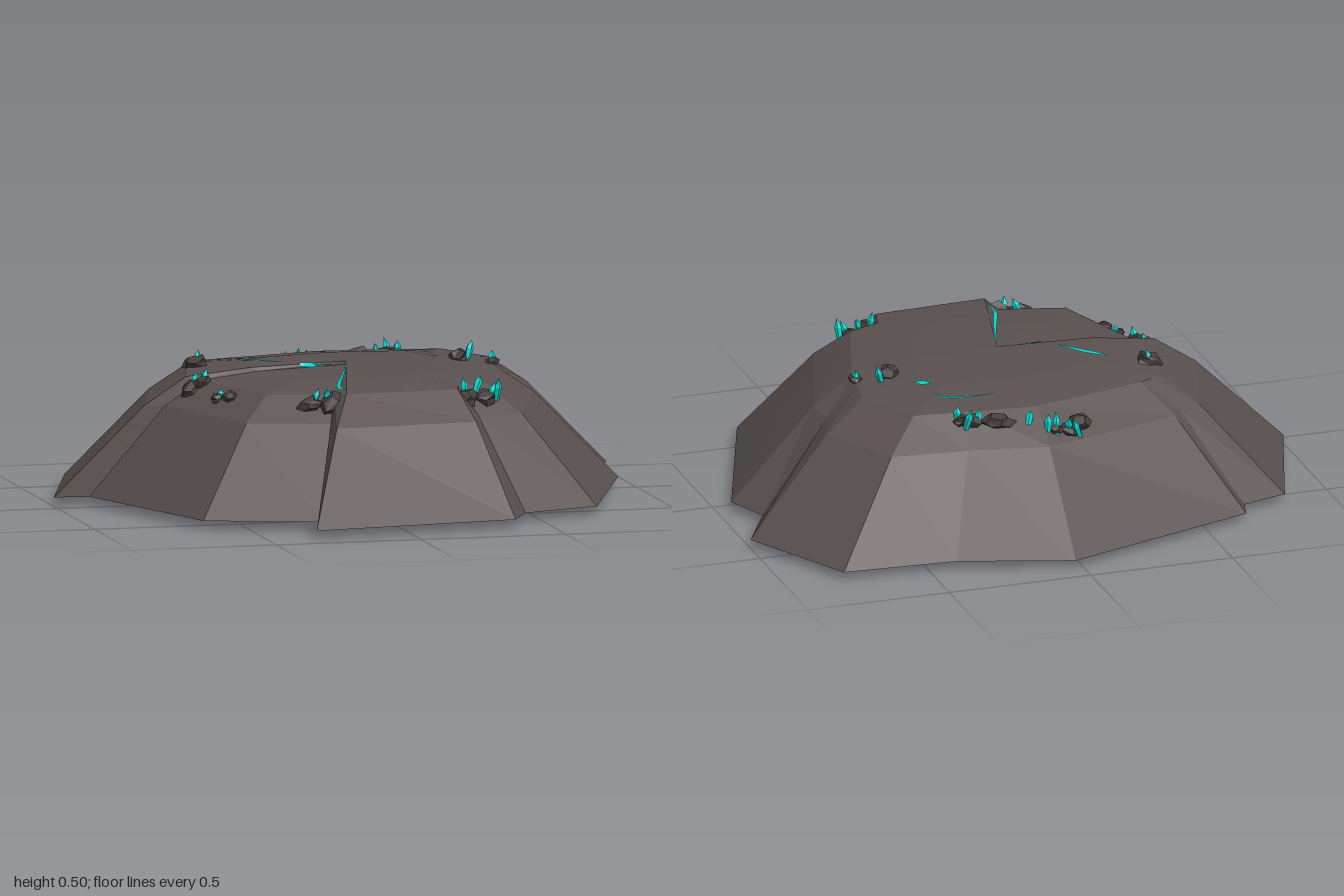
import * as THREE from 'three';
import { mergeVertices } from 'three/addons/utils/BufferGeometryUtils.js';

const mat = (color, side = THREE.FrontSide) => new THREE.MeshStandardMaterial({ color, side, flatShading: true });
const stone = mat(0x5a5150), boulder = mat(0x443d3a), glow = mat(0x00d8d0, THREE.DoubleSide);

// Each row: foot x, z, rim x, z; walked clockwise from the back as seen from above
const ROWS = [
  [0.03, -0.93, 0.02, -0.50], [0.41, -0.81, 0.24, -0.48], [0.80, -0.785, 0.44, -0.45],
  [1.00, -0.40, 0.55, -0.24], [0.89, -0.20, 0.53, -0.12], [0.95, -0.05, 0.52, -0.03],
  [0.71, 0.60, 0.39, 0.36], [0.44, 0.69, 0.28, 0.40], [0.37, 0.83, 0.26, 0.48],
  [-0.34, 0.92, -0.13, 0.50], [-0.27, 0.73, -0.15, 0.42], [-0.65, 0.60, -0.37, 0.36],
  [-0.88, -0.04, -0.50, -0.02], [-1.00, -0.05, -0.55, -0.03], [-0.83, -0.57, -0.46, -0.35],
  [-0.67, -0.62, -0.42, -0.38], [-0.65, -0.70, -0.38, -0.40],
];

let seed = 7;
const rand = () => (seed = (seed * 16807) % 2147483647) / 2147483647;

function moundGeometry() {
  const pos = [];
  const tri = (...pts) => pts.forEach(p => pos.push(...p));
  const n = ROWS.length;
  // Foot, shoulder, rim, inner ring and apex of each row; the front-left slab sits lower
  const rows = ROWS.map(([fx, fz, rx, rz], i) => {
    const d = i >= 10 && i <= 12 ? 0.012 : 0;
    return [
      [fx, 0.03, fz],
      [rx + (fx - rx) * 0.32, 0.33, rz + (fz - rz) * 0.32],
      [rx, 0.425 - d, rz],
      [rx * 0.6, 0.45 - d, rz * 0.6],
      [0, 0.46 - d, -0.02],
    ];
  });
  for (let i = 0; i < n; i++) {
    const a = rows[i], b = rows[(i + 1) % n];
    for (let k = 0; k < 4; k++) {
      tri(a[k], a[k + 1], b[k + 1]);
      tri(a[k], b[k + 1], b[k]);
    }
  }
  // Underside: flat front half, back half dipping to a low point
  const low = [0.3, 0, -0.2], mid = [0, 0.03, -0.05];
  for (let i = 0; i < n; i++) tri(i >= 5 && i < 13 ? mid : low, rows[i][0], rows[(i + 1) % n][0]);
  tri(low, rows[5][0], rows[13][0]);
  const g = new THREE.BufferGeometry();
  g.setAttribute('position', new THREE.Float32BufferAttribute(pos, 3));
  g.computeVertexNormals();
  return g;
}

// Rough stone: a dodecahedron with jittered corners
function rockGeometry() {
  const base = new THREE.DodecahedronGeometry(1);
  base.deleteAttribute('normal');
  base.deleteAttribute('uv');
  const g = mergeVertices(base, 1e-3), p = g.attributes.position;
  for (let i = 0; i < p.count; i++) {
    const s = 0.8 + rand() * 0.4;
    p.setXYZ(i, p.getX(i) * s, p.getY(i) * s, p.getZ(i) * s);
  }
  g.computeVertexNormals();
  return g;
}

// Crystal: five-sided shaft with a pointed tip, standing on its base
const crystalGeometry = new THREE.LatheGeometry(
  [[0, 0], [0.7, 0], [1, 0.6], [0, 1]].map(([x, y]) => new THREE.Vector2(x, y)), 5);

export function createModel() {
  const model = new THREE.Group();
  const mound = new THREE.Mesh(moundGeometry(), stone);
  mound.name = 'mound';
  model.add(mound);

  const ray = new THREE.Raycaster();
  const heightAt = (x, z) => {
    ray.set(new THREE.Vector3(x, 2, z), new THREE.Vector3(0, -1, 0));
    const hit = ray.intersectObject(mound)[0];
    return hit ? hit.point.y : 0.42;
  };

  // Rocks around the rim: x, z, radius, stretch along x
  const rocks = new THREE.Group();
  rocks.name = 'rocks';
  [
    [-0.11, -0.55, 0.04, 1], [-0.07, -0.58, 0.03, 1.2], [-0.02, -0.58, 0.025, 1],
    [0.17, -0.53, 0.035, 1.7], [0.25, -0.51, 0.03, 1.3], [0.29, -0.5, 0.028, 1],
    [0.41, -0.1, 0.035, 1], [0.52, -0.08, 0.024, 1], [0.30, 0.45, 0.04, 1],
    [0.37, 0.42, 0.035, 1.2], [-0.24, 0.44, 0.035, 1.2], [-0.17, 0.46, 0.042, 1.1],
    [-0.54, 0.0, 0.035, 1], [-0.5, 0.01, 0.03, 1], [-0.49, 0.17, 0.024, 1],
    [-0.46, 0.22, 0.026, 1], [-0.46, -0.24, 0.038, 1.2],
  ].forEach(([x, z, r, sx]) => {
    const rock = new THREE.Mesh(rockGeometry(), boulder);
    rock.name = 'rock';
    rock.position.set(x, heightAt(x, z) + r * 0.15, z);
    rock.scale.set(r * sx, r * 0.8, r);
    rock.rotation.set(rand() * 0.6, rand() * 0.8 - 0.4, rand() * 0.6);
    rocks.add(rock);
  });
  model.add(rocks);

  // Crystals among the rocks: x, z, height
  const crystals = new THREE.Group();
  crystals.name = 'crystals';
  [
    [-0.1, -0.59, 0.08], [-0.06, -0.58, 0.07], [-0.02, -0.59, 0.08], [0.01, -0.58, 0.06],
    [0.07, -0.55, 0.05], [0.24, -0.52, 0.06], [0.28, -0.52, 0.08], [0.3, -0.49, 0.05],
    [0.45, -0.14, 0.07], [0.52, -0.08, 0.05], [0.3, 0.43, 0.07], [0.34, 0.4, 0.06],
    [0.38, 0.42, 0.07], [0.41, 0.41, 0.08], [-0.23, 0.43, 0.06], [-0.18, 0.44, 0.06],
    [-0.53, -0.01, 0.06], [-0.5, 0.01, 0.06], [-0.48, 0.16, 0.03], [-0.46, -0.25, 0.06],
  ].forEach(([x, z, h]) => {
    const crystal = new THREE.Mesh(crystalGeometry, glow);
    crystal.name = 'crystal';
    crystal.position.set(x, heightAt(x, z) - 0.005, z);
    crystal.scale.set(0.013, h, 0.013);
    crystal.rotation.set(rand() * 0.8 - 0.4, rand() * 0.5, rand() * 0.8 - 0.4);
    crystals.add(crystal);
  });
  model.add(crystals);

  // Glowing veins: tapered ribbons laid over the top, width then x, z pairs
  const veins = new THREE.Group();
  veins.name = 'veins';
  [
    [0.022, [-0.34, -0.19], [-0.28, -0.15], [-0.2, -0.06]],
    [0.022, [-0.16, -0.02], [-0.11, -0.005], [-0.05, -0.015]],
    [0.01, [0.13, -0.385], [0.29, -0.37], [0.33, -0.32]],
    [0.025, [0.31, -0.245], [0.335, -0.23], [0.355, -0.21]],
    [0.012, [-0.01, 0.03], [-0.08, 0.24], [-0.12, 0.36], [-0.12, 0.46]],
  ].forEach(([w, ...pts]) => {
    const curve = new THREE.CatmullRomCurve3(pts.map(([x, z]) => new THREE.Vector3(x, 0, z)));
    const g = new THREE.PlaneGeometry(1, 1, 10, 1), p = g.attributes.position;
    for (let i = 0; i < p.count; i++) {
      const t = p.getX(i) + 0.5, c = curve.getPoint(t), d = curve.getTangent(t);
      const s = Math.sign(p.getY(i)) * w * 0.5 * (0.15 + Math.sin(Math.PI * t));
      const x = c.x + d.z * s, z = c.z - d.x * s;
      p.setXYZ(i, x, heightAt(x, z) + 0.004, z);
    }
    g.computeVertexNormals();
    const vein = new THREE.Mesh(g, glow);
    vein.name = 'vein';
    veins.add(vein);
  });
  model.add(veins);
  return model;
}
